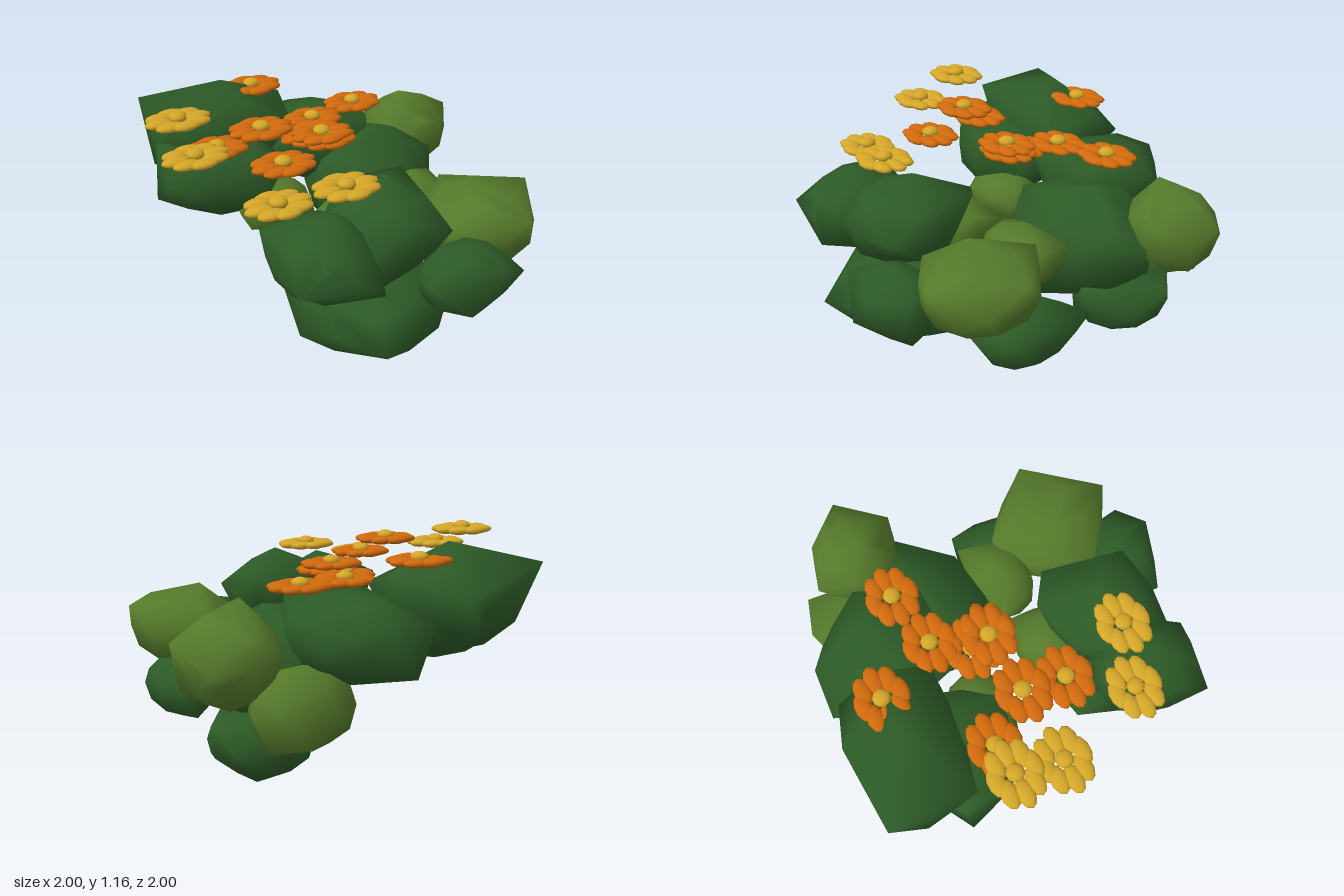
import * as THREE from 'three';
import { mergeVertices } from 'three/addons/utils/BufferGeometryUtils.js';
import { ConvexGeometry } from 'three/addons/geometries/ConvexGeometry.js';

const mat = (name, color) => {
  const m = new THREE.MeshStandardMaterial({ color });
  m.name = name;
  return m;
};

// Leaf clump: a rounded core filling most of its box, stretched out to a few corner tips
function clumpGeometry([x0, x1, y0, y1, z0, z1], tips) {
  const core = new THREE.IcosahedronGeometry(0.47, 1);
  core.scale(x1 - x0, y1 - y0, z1 - z0);
  core.translate((x0 + x1) / 2, (y0 + y1) / 2, (z0 + z1) / 2);
  const p = core.attributes.position;
  const points = tips.map((t) => new THREE.Vector3(...t));
  for (let i = 0; i < p.count; i++) points.push(new THREE.Vector3().fromBufferAttribute(p, i));
  const hull = new ConvexGeometry(points);
  hull.deleteAttribute('normal');
  const g = mergeVertices(hull, 1e-3);
  g.computeVertexNormals();
  return g;
}

export function createModel() {
  const model = new THREE.Group();
  model.name = 'floweringBush';
  const darkLeaf = mat('dark leaf green', 0x2d5a27);
  const lightLeaf = mat('light leaf green', 0x557a2b);
  const orange = mat('orange petal', 0xd0690d);
  const yellow = mat('yellow petal', 0xd4a628);

  const foliage = new THREE.Group();
  foliage.name = 'foliage';
  model.add(foliage);
  function clump(name, material, box, ...tips) {
    const m = new THREE.Mesh(clumpGeometry(box, tips), material);
    m.name = name;
    foliage.add(m);
  }

  // Dark clumps, back half
  clump('backTopClump', darkLeaf, [-0.8, -0.03, 0.56, 1.09, -0.98, -0.43],
    [-0.38, 1.13, -0.72], [-0.76, 1.03, -0.97], [-0.28, 0.9, -1], [-0.03, 1, -0.72],
    [-0.1, 0.92, -0.45], [-0.78, 1.02, -0.53], [-0.77, 0.7, -0.8], [-0.06, 0.85, -0.93]);
  clump('backSideClump', darkLeaf, [-0.85, -0.15, 0.48, 0.91, -0.78, -0.2],
    [-0.85, 0.59, -0.6], [-0.82, 0.89, -0.62], [-0.8, 0.87, -0.38], [-0.4, 0.88, -0.2],
    [-0.38, 0.6, -0.2]);
  clump('backMiddleClump', darkLeaf, [-0.2, 0.46, 0.47, 0.94, -0.96, -0.27],
    [-0.09, 0.8, -0.98], [0.17, 0.82, -0.96], [0.46, 0.84, -0.62], [0, 0.56, -0.97],
    [0.3, 0.9, -0.32], [-0.15, 0.88, -0.33]);
  clump('centreClump', darkLeaf, [-0.08, 0.7, 0.2, 0.85, -0.68, 0.04],
    [0.4, 0.84, -0.28], [0.1, 0.6, 0.04], [0.12, 0.22, 0.03], [0.5, 0.6, -0.03],
    [0.74, 0.62, -0.3], [0.72, 0.46, -0.35], [0, 0.76, -0.15]);
  clump('backLowClump', darkLeaf, [0.22, 0.76, 0.03, 0.39, -0.7, -0.12],
    [0.52, 0, -0.42], [0.2, 0.13, -0.4], [0.78, 0.34, -0.45], [0.73, 0.17, -0.35],
    [0.5, 0.36, -0.11], [0.55, 0.37, -0.71]);

  // Dark clumps, front half
  clump('frontClump', darkLeaf, [-0.15, 0.38, 0.3, 0.68, 0.58, 0.99],
    [-0.16, 0.56, 0.87], [0.2, 0.6, 1], [0.02, 0.39, 0.97], [0.38, 0.5, 0.92], [0.26, 0.3, 0.8]);
  clump('frontTopClump', darkLeaf, [-0.49, 0.13, 0.49, 0.94, 0.19, 0.81],
    [-0.14, 0.97, 0.47], [0.1, 0.88, 0.28], [-0.04, 0.84, 0.18], [0.06, 0.74, 0.75],
    [-0.45, 0.72, 0.75], [-0.3, 0.53, 0.7], [-0.48, 0.82, 0.5]);
  clump('frontSideClump', darkLeaf, [-0.8, -0.27, 0.48, 0.9, 0.24, 0.84],
    [-0.79, 0.68, 0.77], [-0.5, 0.91, 0.58], [-0.74, 0.8, 0.33], [-0.4, 0.6, 0.86],
    [-0.42, 0.48, 0.6]);
  clump('frontLowClump', darkLeaf, [-0.6, 0.2, 0.05, 0.56, 0.1, 0.86],
    [-0.27, 0, 0.46], [-0.61, 0.23, 0.45], [-0.57, 0.47, 0.5], [-0.4, 0.27, 0.88],
    [0.19, 0.2, 0.45], [-0.14, 0.04, 0.56], [-0.56, 0.45, 0.16]);
  clump('lowSideClump', darkLeaf, [0.37, 0.73, 0.14, 0.48, 0.04, 0.6],
    [0.73, 0.36, 0.2], [0.7, 0.38, 0.04], [0.6, 0.21, 0.03], [0.45, 0.37, 0.61],
    [0.38, 0.29, 0.4], [0.55, 0.48, 0.25]);

  // Light clumps
  clump('lightBackClump', lightLeaf, [0.45, 0.98, 0.43, 0.9, -0.76, -0.27],
    [0.64, 0.93, -0.48], [1, 0.77, -0.5], [0.6, 0.72, -0.77], [0.9, 0.64, -0.68],
    [0.8, 0.76, -0.27], [0.92, 0.53, -0.42], [0.72, 0.42, -0.53]);
  clump('lightBackLowClump', lightLeaf, [0.14, 0.71, 0.22, 0.64, -0.88, -0.46],
    [0.45, 0.58, -0.9], [0.68, 0.5, -0.84], [0.3, 0.52, -0.85], [0.5, 0.29, -0.86],
    [0.12, 0.25, -0.62], [0.68, 0.29, -0.8]);
  clump('lightFrontClump', lightLeaf, [0.11, 0.73, 0.36, 0.8, 0.18, 0.84],
    [0.33, 0.81, 0.5], [0.75, 0.73, 0.5], [0.46, 0.71, 0.86], [0.12, 0.67, 0.62],
    [0.44, 0.7, 0.17], [0.53, 0.4, 0.35]);
  clump('lightMiddleClump', lightLeaf, [0.04, 0.52, 0.39, 0.73, -0.04, 0.32],
    [0.3, 0.74, 0.1], [0.5, 0.65, -0.01], [0.04, 0.64, 0.02], [0.2, 0.42, -0.01]);
  clump('lightInnerClump', lightLeaf, [-0.38, 0.05, 0.42, 0.75, 0, 0.4],
    [-0.36, 0.62, 0.14], [0.03, 0.63, 0.02], [-0.15, 0.74, 0.12]);
  clump('lightHiddenClump', lightLeaf, [-0.54, -0.1, 0.42, 0.7, -0.48, -0.1],
    [-0.52, 0.5, -0.17], [-0.13, 0.48, -0.17]);

  // Flowers: a ring of eight flat oval petals around a low domed centre
  const petalGeo = new THREE.SphereGeometry(1, 10, 8).scale(0.074, 0.022, 0.043);
  const centreGeo = new THREE.SphereGeometry(0.045, 10, 8).scale(1, 0.6, 1);
  function addFlower(x, y, z, material, name) {
    const f = new THREE.Group();
    f.name = name;
    for (let i = 0; i < 8; i++) {
      const a = (i / 8) * Math.PI * 2;
      const petal = new THREE.Mesh(petalGeo, material);
      petal.name = 'petal';
      petal.position.set(Math.cos(a) * 0.1, 0, Math.sin(a) * 0.093);
      f.add(petal);
    }
    const c = new THREE.Mesh(centreGeo, yellow);
    c.name = 'flowerCentre';
    c.position.y = 0.017;
    f.add(c);
    f.position.set(x, y, z);
    model.add(f);
  }
  [[-0.8, 1.12, -0.35], [-0.83, 1.02, -0.11], [-0.66, 0.925, 0.38], [-0.36, 0.975, 0.48]]
    .forEach((p) => addFlower(...p, yellow, 'yellowFlower'));
  [[-0.6, 0.92, -0.35], [-0.46, 1.07, -0.13], [-0.47, 0.97, 0.1], [-0.11, 0.965, -0.13],
    [-0.09, 0.935, -0.12], [-0.12, 0.92, -0.23], [0, 0.93, -0.4], [0.3, 0.94, -0.46],
    [-0.19, 1.055, -0.73]]
    .forEach((p) => addFlower(...p, orange, 'orangeFlower'));

  return model;
}
